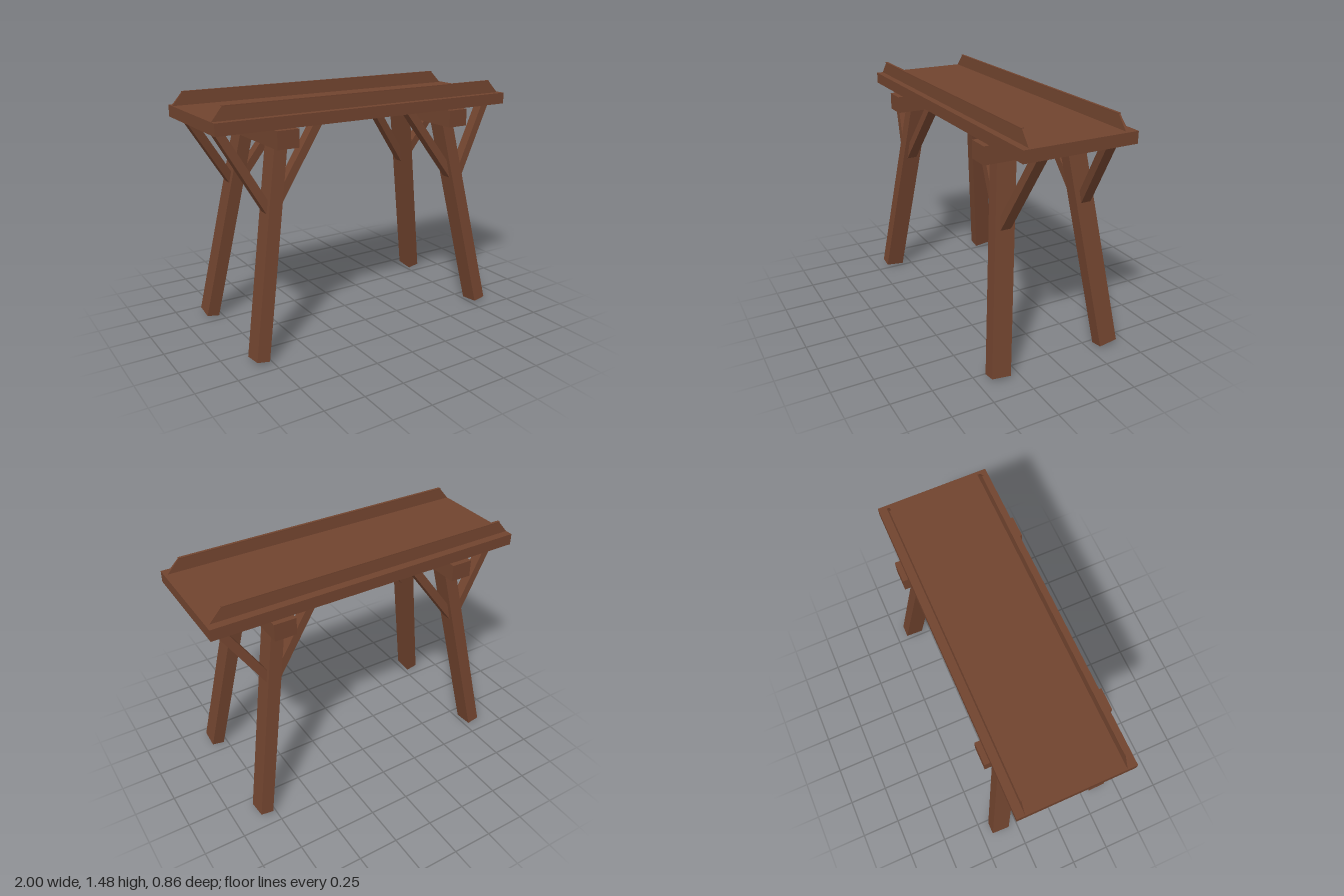
import * as THREE from 'three';

export function createModel() {
  const group = new THREE.Group();
  const wood = new THREE.MeshStandardMaterial({ color: 0x70432e, side: THREE.DoubleSide });
  wood.name = 'brownWood';

  const add = (name, geometry, x = 0, y = 0, z = 0) => {
    const mesh = new THREE.Mesh(geometry, wood);
    mesh.name = name;
    mesh.position.set(x, y, z);
    group.add(mesh);
    return mesh;
  };

  // Square timber running from point a to point b, w wide and d deep
  const timber = (name, a, b, w, d, openFoot = false) => {
    const start = new THREE.Vector3(...a), end = new THREE.Vector3(...b);
    const up = end.clone().sub(start);
    const geometry = new THREE.BoxGeometry(w, up.length(), d);
    if (openFoot) {
      // Leave out the bottom face
      const index = Array.from(geometry.index.array);
      index.splice(18, 6);
      geometry.setIndex(index);
      geometry.clearGroups();
    }
    up.normalize();
    const across = new THREE.Vector3().crossVectors(up, new THREE.Vector3(0, 0, 1)).normalize();
    const depth = new THREE.Vector3().crossVectors(across, up);
    const mesh = add(name, geometry);
    mesh.quaternion.setFromRotationMatrix(new THREE.Matrix4().makeBasis(across, up, depth));
    mesh.position.copy(start).add(end).multiplyScalar(0.5);
  };

  // Table top
  add('tableTop', new THREE.BoxGeometry(2, 0.07, 0.696), 0, 1.36, -0.002);

  // Thin rails with sloping ends, tapering towards a narrow cap
  for (const z of [0.295, -0.292]) {
    const shape = new THREE.Shape([
      [-1, 1.394], [0.98, 1.394], [0.905, 1.472], [-0.935, 1.472],
    ].map(([x, y]) => new THREE.Vector2(x, y)));
    const geometry = new THREE.ExtrudeGeometry(shape, { depth: 1, bevelEnabled: false });
    const p = geometry.attributes.position;
    for (let i = 0; i < p.count; i++) {
      const width = p.getY(i) < 1.43 ? 0.018 : 0.008;
      p.setZ(i, (p.getZ(i) - 0.5) * width);
    }
    geometry.computeVertexNormals();
    add('rail', geometry, 0, 0, z);
    add('railCap', new THREE.BoxGeometry(1.84, 0.006, 0.017), -0.015, 1.473, z);
  }

  for (const sx of [-1, 1]) {
    // Cross beam under the top
    add('crossBeam', new THREE.BoxGeometry(0.134, 0.105, 0.762), sx * 0.594, 1.2725, -0.002);

    for (const sz of [-1, 1]) {
      const side = sz > 0 ? 'front' : 'back';
      // Splayed leg, open at the foot
      timber(side + 'Leg', [sx * 0.812, 0.011, sz * 0.37], [sx * 0.587, 1.25, sz * 0.221], 0.08, 0.12, true);

      // Outer and inner diagonal braces
      const foot = sz > 0 ? [0.662, 0.828] : [0.65, 0.885];
      timber(side + 'OuterBrace', [sx * foot[0], foot[1], sz * 0.27],
        [sx * 0.955, 1.352, sz * 0.208], 0.05, 0.065);
      timber(side + 'InnerBrace', [sx * 0.645, 0.87, sz * 0.266],
        [sx * 0.302, 1.352, sz * 0.208], 0.05, 0.065);
    }
  }

  return group;
}
